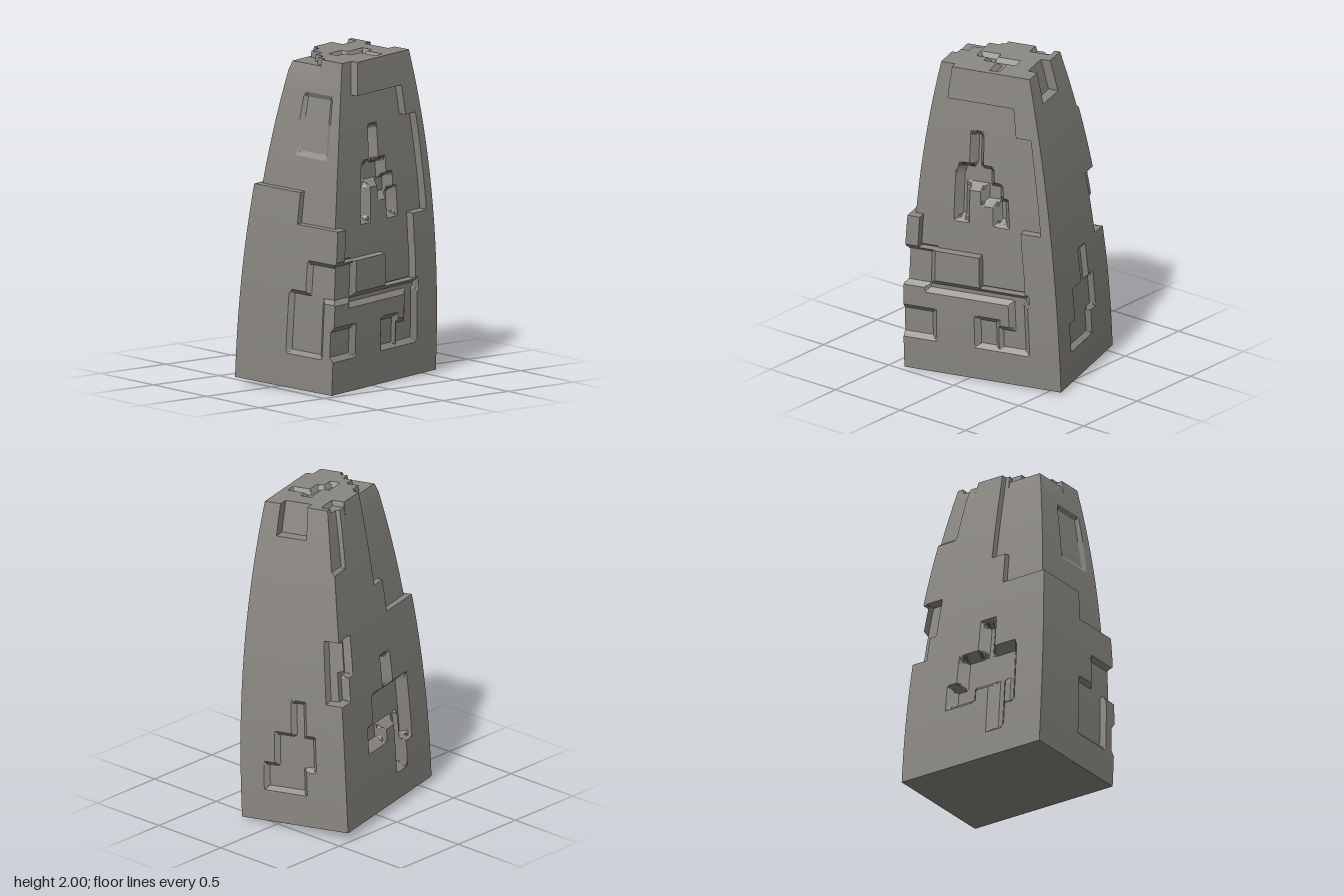
import * as THREE from 'three';
import { toCreasedNormals } from 'three/addons/utils/BufferGeometryUtils.js';

const W = 0.515, D = 0.36, H = 1.96; // half width, half depth, height

// Recesses per face: [u0, u1, v0, v1]; sides use v = height, top uses v = depth axis.
// Each set has one depth and one bevel width; the sets of a face add up.
const FACES = {
  front: [
    { depth: 0.045, bevel: 0.004, rects: [ // stepped upper panel
      [-1, 0.85, 0.99, 1.58], [-1, 0.6, 1.58, 1.76], [-1, -0.61, 1.76, 2],
      [-0.82, 0.57, 0.79, 0.99], [0, 0.58, 0.59, 0.79]] },
    { depth: 0.05, bevel: 0.04, rects: [ // branching hollow
      [-0.11, -0.07, 1.32, 1.53], [-0.28, 0.09, 1.23, 1.32], [-0.31, -0.27, 1.02, 1.28],
      [0.06, 0.22, 1.14, 1.22], [0.24, 0.29, 1.02, 1.13]] },
    { depth: 0.025, bevel: 0.03, rects: [ // lower hollows
      [-1, -0.64, 0.23, 0.38], [-0.02, 0.18, 0.23, 0.38], [0.27, 0.55, 0.23, 0.34],
      [0.43, 0.55, 0.34, 0.55], [-1, -0.66, 0.57, 0.77], [-0.66, 0.58, 0.54, 0.565]] }],
  back: [
    { depth: 0.035, bevel: 0.004, rects: [[-1, -0.1, 1.38, 2], [-1, -0.33, 1.18, 1.38]] },
    { depth: 0.02, bevel: 0.02, rects: [[0.7, 1, 1.6, 2]] },
    { depth: 0.055, bevel: 0.045, rects: [ // branching hollow
      [-0.16, -0.11, 0.7, 0.9], [-0.5, 0.18, 0.52, 0.7], [0.08, 0.32, 0.44, 0.52],
      [-0.36, -0.3, 0.21, 0.52], [-0.5, -0.45, 0.37, 0.52]] },
    { depth: 0.045, bevel: 0.015, rects: [[0.72, 0.93, 0.95, 1.17], [0.82, 1, 0.8, 0.98]] }],
  right: [
    { depth: 0.025, bevel: 0.025, rects: [
      [-0.18, 0.48, 0.22, 0.35], [-0.37, 0.27, 0.37, 0.55], [-0.2, -0.06, 0.55, 0.76]] },
    { depth: 0.045, bevel: 0.01, rects: [[-1, -0.71, 0.8, 1.17]] },
    { depth: 0.06, bevel: 0.004, rects: [[-0.28, 0.51, 1.77, 2]] }],
  left: [
    { depth: 0.035, bevel: 0.004, rects: [[-1, 0.1, 1.18, 2], [0.1, 1, 0.99, 2]] },
    { depth: 0.018, bevel: 0.03, rects: [[-0.15, 0.5, 1.41, 1.73]] },
    { depth: 0.025, bevel: 0.025, rects: [[0.1, 0.7, 0.23, 0.57], [0.45, 1, 0.57, 0.76]] }],
  top: [
    { depth: 0.03, bevel: 0.02, rects: [ // branching groove
      [-0.33, -0.04, -0.11, 0.02], [-0.1, 0.42, 0.09, 0.23], [0.18, 0.26, 0.23, 0.75]] },
    { depth: 0.04, bevel: 0.004, rects: [ // stair-shaped corner notch
      [-1, -0.19, -1, -0.76], [-1, -0.42, -0.76, -0.4], [-1, -0.63, -0.4, -0.13],
      [-1, -0.8, -0.13, 0.1]] },
    { depth: 0.03, bevel: 0.01, rects: [[0.5, 0.86, -1, -0.67]] }],
};

// Units of the two axes of each face, used to scale the bevels
const units = { front: [0.45, 1], back: [0.45, 1], left: [0.32, 1], right: [0.32, 1], top: [0.31, 0.22] };

function recess(face, u, v) {
  const [su, sv] = units[face];
  let total = 0;
  for (const { depth, bevel, rects } of FACES[face]) {
    let best = 0;
    for (const [u0, u1, v0, v1] of rects) {
      const du = Math.max(u0 - u, u - u1, 0) * su;
      const dv = Math.max(v0 - v, v - v1, 0) * sv;
      best = Math.max(best, 1 - Math.max(du, dv) / bevel);
    }
    total += depth * best;
  }
  return total;
}

// Grid lines along each axis: even steps plus the edges of all recesses
function gridLines() {
  const xs = [], ys = [], zs = [];
  for (let i = 0; i <= 20; i++) {
    xs.push(-1 + i / 10);
    ys.push(H * (i / 20));
    zs.push(-1 + i / 10);
  }
  for (const face in FACES) {
    const [su, sv] = units[face];
    const uList = face === 'left' || face === 'right' ? zs : xs;
    const vList = face === 'top' ? zs : ys;
    for (const { bevel, rects } of FACES[face]) {
      for (const [u0, u1, v0, v1] of rects) {
        uList.push(u0, u0 - bevel / su, u1, u1 + bevel / su);
        vList.push(v0, v0 - bevel / sv, v1, v1 + bevel / sv);
      }
    }
  }
  const tidy = (list, lo, hi) => list.filter((t) => t >= lo && t <= hi)
    .sort((a, b) => a - b).filter((t, i, all) => i === 0 || t - all[i - 1] > 1e-6);
  return [tidy(xs, -1, 1), tidy(ys, 0, H), tidy(zs, -1, 1)];
}

// Point of the curved, tapering block; a and c run -1..1, h is the height
function place(a, h, c) {
  const s = 1 - 0.39 * Math.pow(h / 1.98, 2.2);
  const xMax = W * s - recess('right', c, h), xMin = -W * s + recess('left', c, h);
  const zMax = D * s - recess('front', a, h), zMin = -D * s + recess('back', a, h);
  return [
    THREE.MathUtils.clamp(a * W * s, xMin, xMax),
    Math.min(h, H - recess('top', a, c)),
    THREE.MathUtils.clamp(c * D * s, zMin, zMax),
  ];
}

function bodyGeometry() {
  const [xs, ys, zs] = gridLines();
  const positions = [];
  // Adds one side of the block; map turns the two grid values into a point
  const addSide = (us, vs, map) => {
    for (let i = 0; i < us.length - 1; i++) {
      for (let j = 0; j < vs.length - 1; j++) {
        const p = map(us[i], vs[j]), q = map(us[i + 1], vs[j]);
        const r = map(us[i + 1], vs[j + 1]), t = map(us[i], vs[j + 1]);
        positions.push(...p, ...q, ...r, ...p, ...r, ...t);
      }
    }
  };
  const back = (list) => [...list].reverse();
  addSide(xs, ys, (a, h) => place(a, h, 1));
  addSide(back(xs), ys, (a, h) => place(a, h, -1));
  addSide(back(zs), ys, (c, h) => place(1, h, c));
  addSide(zs, ys, (c, h) => place(-1, h, c));
  addSide(xs, back(zs), (a, c) => place(a, H, c));
  addSide(xs, zs, (a, c) => place(a, 0, c));
  const geometry = new THREE.BufferGeometry();
  geometry.setAttribute('position', new THREE.Float32BufferAttribute(positions, 3));
  return toCreasedNormals(geometry, 0.35);
}

export function createModel() {
  const stone = new THREE.MeshStandardMaterial({ color: 0x8a8782 });
  stone.name = 'grey stone';

  const body = new THREE.Mesh(bodyGeometry(), stone);
  body.name = 'towerBody';
  body.rotation.set(0.055, 0.245, 0); // turned and leaning slightly forward
  body.position.set(0, 0.027, -0.015);

  const model = new THREE.Group();
  model.name = 'panelledTower';
  model.add(body);
  return model;
}
